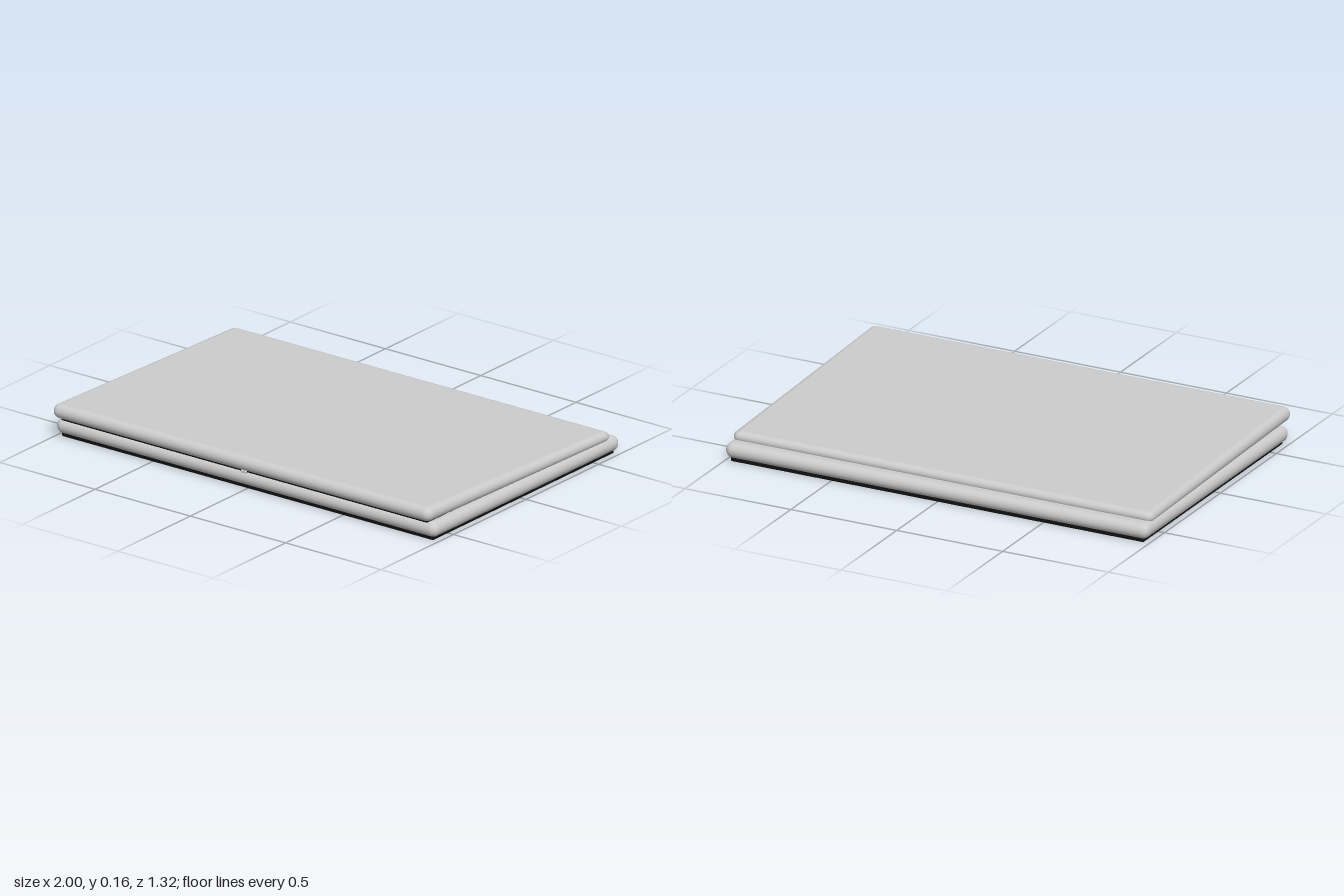
import * as THREE from 'three';
import { RoundedBoxGeometry } from 'three/addons/geometries/RoundedBoxGeometry.js';

const grey = new THREE.MeshStandardMaterial({ color: 0xcccccc });
const black = new THREE.MeshStandardMaterial({ color: 0x111111 });

// Slab with fully rounded edges, placed by its limits
function slab(name, width, y0, y1, z0, z1, radius, material) {
  const geometry = new RoundedBoxGeometry(width, y1 - y0, z1 - z0, 6, radius);
  geometry.translate(0, (y0 + y1) / 2, (z0 + z1) / 2);
  const mesh = new THREE.Mesh(geometry, material);
  mesh.name = name;
  return mesh;
}

// Lean a slab lying around y = 0 so it follows the tilted, tapering lid
function followLid(mesh, taper) {
  const p = mesh.geometry.attributes.position;
  for (let i = 0; i < p.count; i++) {
    const t = (p.getZ(i) + 0.57) / 1.2; // 0 at the hinge, 1 at the open edge
    const y = p.getY(i) * (taper ? THREE.MathUtils.lerp(0.7, 1, t) : 1);
    const centre = taper
      ? THREE.MathUtils.lerp(0.093, 0.125, t)
      : THREE.MathUtils.lerp(0.07, 0.091, t);
    p.setY(i, y + centre);
  }
  return mesh;
}

export function createModel() {
  const model = new THREE.Group();
  model.name = 'closedLaptop';

  // Lower half and the dark plate it stands on
  model.add(slab('base', 2, 0.014, 0.083, -0.658, 0.628, 0.0345, grey));
  model.add(slab('bottomPlate', 1.95, 0, 0.03, -0.64, 0.607, 0.006, black));

  // Slightly raised lid, thicker at its open edge
  model.add(followLid(slab('lid', 1.985, -0.0325, 0.0325, -0.602, 0.66, 0.0325, grey), true));

  // Screen on the inner face of the lid
  model.add(followLid(slab('screen', 1.92, -0.008, 0.008, -0.55, 0.63, 0.003, black), false));

  // Small catch in the middle of the open edge
  model.add(slab('catch', 0.03, 0.078, 0.09, 0.61, 0.635, 0.004, grey));
  return model;
}
